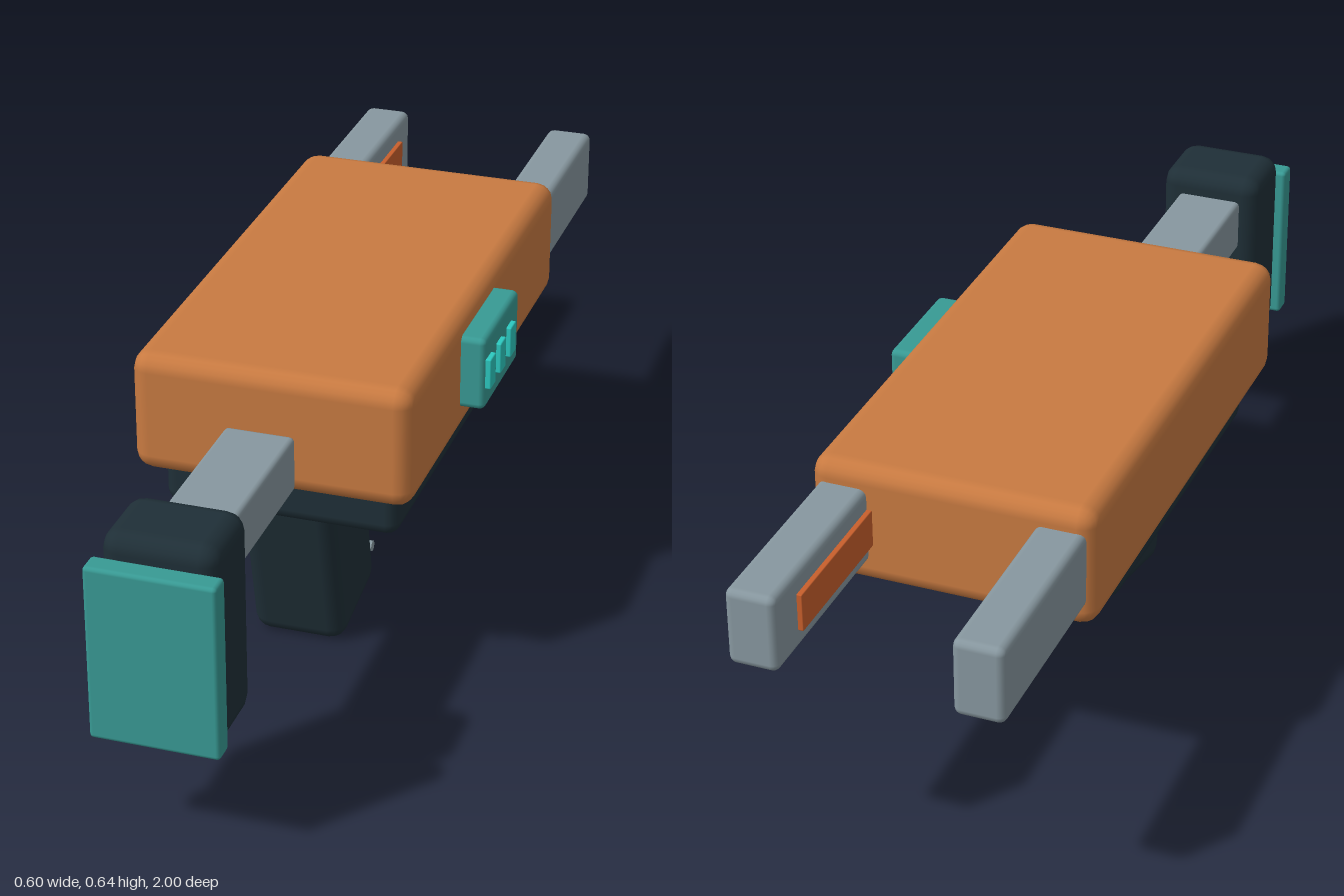
import * as THREE from 'three';
import { RoundedBoxGeometry } from 'three/addons/geometries/RoundedBoxGeometry.js';

const material = (name, color) => {
  const m = new THREE.MeshStandardMaterial({ color });
  m.name = name;
  return m;
};

export function createModel() {
  const model = new THREE.Group();
  model.name = 'toolGun';

  const orange = material('orange shell', 0xc87a41);
  const rust = material('rust strip', 0xc85f2c);
  const dark = material('dark rubber', 0x1f2f37);
  const grey = material('grey metal', 0x87979f);
  const teal = material('teal panel', 0x389a94);
  const cyan = material('cyan light', 0x2cc9c0);

  // Rounded block given by its minimum and maximum corners
  const block = (name, mat, min, max, radius) => {
    const [w, h, d] = max.map((v, i) => v - min[i]);
    const mesh = new THREE.Mesh(new RoundedBoxGeometry(w, h, d, 2, radius), mat);
    mesh.position.set(...max.map((v, i) => (v + min[i]) / 2));
    mesh.name = name;
    model.add(mesh);
    return mesh;
  };

  const midX = -0.03;

  // Main housing and the frame below it
  block('body', orange, [-0.302, 0.403, -0.625], [0.242, 0.645, 0.4], 0.035);
  block('lowerFrame', dark, [-0.26, 0.312, -0.395], [0.2, 0.45, 0.345], 0.025);

  // Tilted grip with finger ridges
  const grip = block('grip', dark, [-0.123, 0.013, 0.066], [0.063, 0.373, 0.286], 0.033);
  grip.rotation.x = 0.21;
  for (const y of [0.253, 0.183, 0.11]) {
    const ridge = new THREE.Mesh(new THREE.CylinderGeometry(0.011, 0.011, 0.18, 8), grey);
    ridge.rotation.z = Math.PI / 2;
    ridge.position.set(midX, y, 0.05);
    ridge.name = 'gripRidge';
    model.add(ridge);
  }
  block('trigger', grey, [midX - 0.027, 0.17, -0.165], [midX + 0.027, 0.306, 0.033], 0.008);

  // Stock: rod, pad and end plate
  block('stockRod', grey, [-0.098, 0.442, 0.442], [0.037, 0.552, 0.83], 0.01);
  block('stockPad', dark, [-0.137, 0.205, 0.795], [0.077, 0.602, 0.96], 0.035);
  block('stockPlate', teal, [-0.15, 0.216, 0.955], [0.09, 0.557, 1.0], 0.008);

  // Twin prongs with a strip on each inner face
  for (const side of [-1, 1]) {
    const span = (a, b) => [midX + side * a, midX + side * b].sort((p, q) => p - q);
    const [x0, x1] = span(0.16, 0.255);
    block('prong', grey, [x0, 0.45, -1.0], [x1, 0.602, -0.6], 0.015);
    const [s0, s1] = span(0.15, 0.162);
    block('prongStrip', rust, [s0, 0.488, -0.915], [s1, 0.562, -0.615], 0.002);
  }

  // Side module with three lights
  block('sideModule', teal, [0.225, 0.463, -0.16], [0.29, 0.612, 0.08], 0.012);
  for (const z of [0.055, -0.016, -0.088]) {
    block('moduleLight', cyan, [0.28, 0.507, z - 0.018], [0.3, 0.57, z + 0.018], 0.003);
  }

  return model;
}
